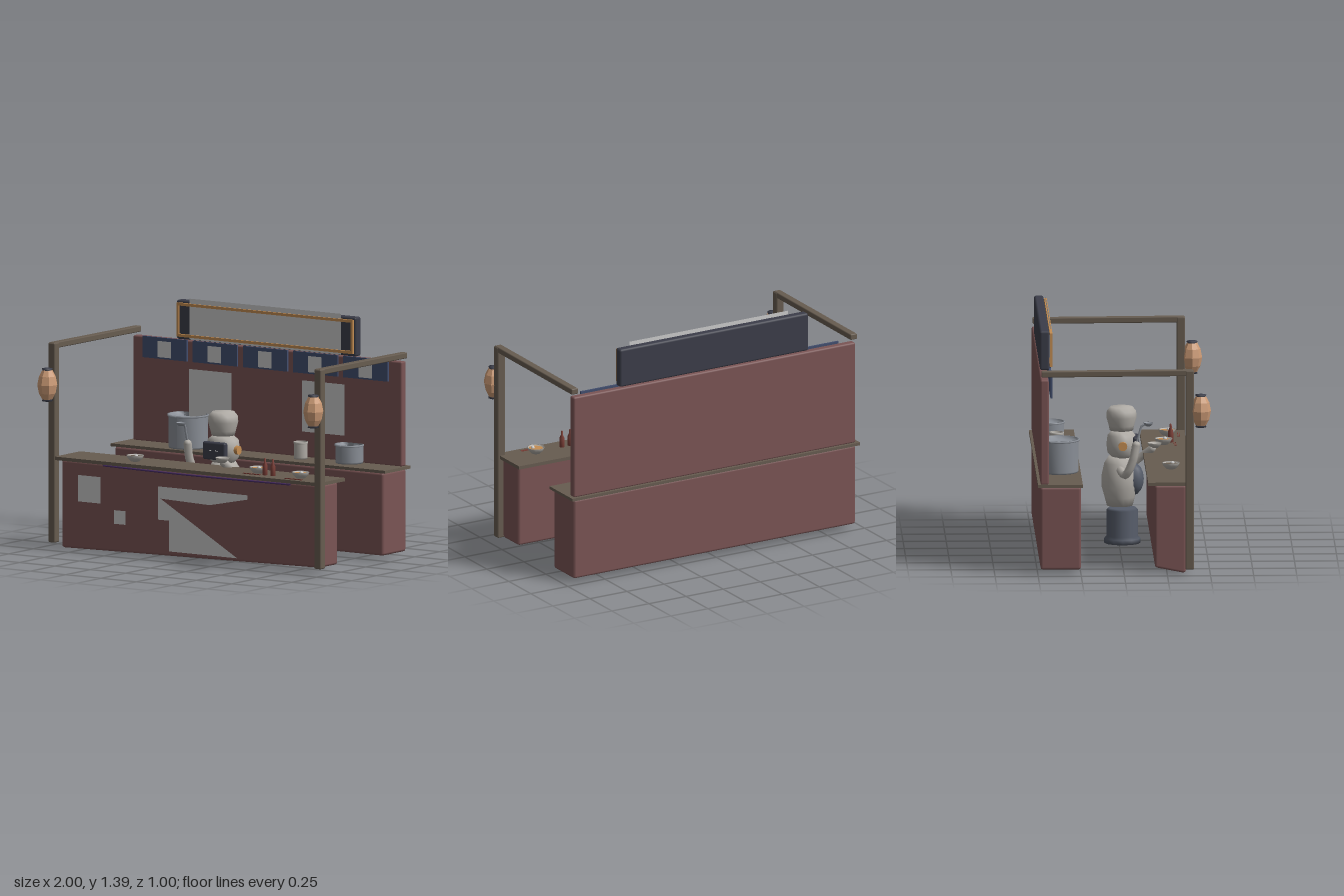
import * as THREE from 'three';
import { RoundedBoxGeometry } from 'three/addons/geometries/RoundedBoxGeometry.js';

const mat = (color, flatShading = false) =>
  new THREE.MeshStandardMaterial({ color, flatShading, side: THREE.DoubleSide });
const M = {
  grey: mat(0xcccccc), robot: mat(0xb0aca6), maroon: mat(0x7a5454), wood: mat(0x675c50),
  slate: mat(0x555b68), dark: mat(0x3b3d49), navy: mat(0x424e6e), metal: mat(0x8b9098),
  gold: mat(0xc48d52), paper: mat(0xcc9b76, true), purple: mat(0x4b2f68), red: mat(0x7d4038),
};

export function createModel() {
  const root = new THREE.Group();
  const add = (name, geometry, material, x = 0, y = 0, z = 0, parent = root) => {
    const m = new THREE.Mesh(geometry, material);
    m.name = name;
    m.position.set(x, y, z);
    parent.add(m);
    return m;
  };
  // Box given by its limits on each axis
  const box = (name, material, x0, x1, y0, y1, z0, z1, r = 0) => {
    const s = [x1 - x0, y1 - y0, z1 - z0];
    const g = r ? new RoundedBoxGeometry(...s, 1, r) : new THREE.BoxGeometry(...s);
    return add(name, g, material, (x0 + x1) / 2, (y0 + y1) / 2, (z0 + z1) / 2);
  };
  const lathe = (pts, sides = 14) =>
    new THREE.LatheGeometry(pts.map(p => new THREE.Vector2(...p)), sides);
  const tube = (name, material, pts, r, sides = 8, parent = root) => add(name, new THREE.TubeGeometry(
    new THREE.CatmullRomCurve3(pts.map(p => new THREE.Vector3(...p))), 10, r, sides), material, 0, 0, 0, parent);
  // Thin flat sheet facing +z
  const sheet = (name, pts, z, material = M.grey) => add(name, new THREE.ShapeGeometry(
    new THREE.Shape(pts.map(p => new THREE.Vector2(...p)))), material, 0, 0, z);
  const rectangle = (x0, x1, y0, y1) => [[x0, y0], [x1, y0], [x1, y1], [x0, y1]];

  // Serving counter, its lower front corner drooping at one end
  const counter = box('frontCounter', M.maroon, -0.9, 0.93, 0.03, 0.515, 0.18, 0.36, 0.015);
  const cp = counter.geometry.attributes.position;
  for (let i = 0; i < cp.count; i++)
    if (cp.getX(i) < 0 && cp.getY(i) < 0 && cp.getZ(i) > 0) cp.setY(i, cp.getY(i) - 0.03);
  box('frontCounterTop', M.wood, -0.92, 0.95, 0.515, 0.535, 0.14, 0.4);
  tube('counterLightStrip', M.purple, [[-0.6, 0.505, 0.365], [0, 0.5, 0.368], [0.72, 0.503, 0.365]], 0.006, 6);

  // Back counter and wall
  box('backCounter', M.maroon, -0.95, 0.95, 0.03, 0.515, -0.485, -0.25, 0.015);
  box('backCounterTop', M.wood, -0.97, 0.97, 0.515, 0.532, -0.5, -0.24);
  box('backWall', M.maroon, -0.95, 0.95, 0.53, 1.145, -0.485, -0.437, 0.01);

  // Flat posters
  sheet('counterNotice', rectangle(-0.78, -0.62, 0.28, 0.435), 0.364);
  sheet('smallCounterNotice', rectangle(-0.525, -0.445, 0.17, 0.25), 0.364);
  sheet('counterBanner', [[-0.215, 0.345], [0.15, 0.335], [0.42, 0.39], [0.42, 0.415], [-0.215, 0.415]], 0.364);
  sheet('counterPoster', [[-0.215, 0.22], [-0.135, 0.22], [-0.135, 0.04], [0.345, 0.04], [-0.215, 0.355]], 0.364);
  for (const s of [-1, 1]) {
    const x = s * 0.4;
    sheet('wallPoster', rectangle(x - 0.15, x + 0.15, 0.68, 0.98), -0.433);
  }

  // Cloth pennants along the top of the wall
  for (let i = -2; i <= 2; i++) {
    const x = i * 0.355;
    box('pennant', M.navy, x - 0.157, x + 0.157, 1.025, 1.15, -0.426, -0.414);
    sheet('pennantPatch', rectangle(x - 0.048, x + 0.048, 1.035, 1.13), -0.41);
  }

  // Sign board with a thin frame
  box('signBoard', M.dark, -0.635, 0.635, 1.15, 1.38, -0.48, -0.425, 0.012);
  sheet('signPanel', rectangle(-0.535, 0.535, 1.155, 1.395), -0.416);
  for (const y of [1.175, 1.358]) box('signFrameRail', M.gold, -0.622, 0.622, y - 0.008, y + 0.008, -0.422, -0.407);
  for (const x of [-0.615, 0.615]) box('signFrameSide', M.gold, x - 0.007, x + 0.007, 1.168, 1.365, -0.422, -0.407);

  // Posts, roof beams and hanging lanterns
  const lantern = lathe([[0, -0.085], [0.03, -0.085], [0.049, -0.05], [0.059, 0], [0.049, 0.05], [0.03, 0.085], [0, 0.085]], 8);
  const cap = lathe([[0, -0.01], [0.024, -0.01], [0.033, 0.008], [0.012, 0.012], [0, 0.012]], 8);
  for (const s of [-1, 1]) {
    box('post', M.wood, s * 0.94 - 0.025, s * 0.94 + 0.025, 0.03, 1.2, 0.355, 0.405, 0.008);
    const beam = box('roofBeam', M.wood, s * 0.94 - 0.022, s * 0.94 + 0.022, 1.165, 1.2, -0.48, 0.4, 0.006);
    beam.rotation.x = -0.006;
    add('lantern', lantern, M.paper, s * 0.94, 0.96, 0.445);
    add('lanternCapTop', cap, M.dark, s * 0.94, 1.047, 0.445);
    add('lanternCapBottom', cap, M.dark, s * 0.94, 0.873, 0.445).rotation.x = Math.PI;
  }

  // Stool
  add('stool', lathe([[0, 0.03], [0.105, 0.03], [0.105, 0.058], [0.092, 0.072], [0.092, 0.225], [0.08, 0.237], [0, 0.237]], 12),
    M.slate, 0, 0, 0.015);

  // Robot cook
  const cook = new THREE.Group();
  cook.name = 'cook';
  root.add(cook);
  add('body', lathe([[0, 0.25], [0.075, 0.25], [0.088, 0.3], [0.105, 0.36], [0.105, 0.43], [0.09, 0.5], [0.065, 0.54], [0, 0.545]]),
    M.robot, 0, 0, 0, cook);
  const head = add('head', lathe([[0, 0.53], [0.06, 0.535], [0.085, 0.56], [0.092, 0.61], [0.085, 0.665], [0.06, 0.69], [0, 0.695]]),
    M.robot, 0, 0, 0.01, cook);
  head.scale.set(1.12, 1, 0.95);
  add('chefHat', lathe([[0, 0.69], [0.068, 0.692], [0.074, 0.72], [0.088, 0.77], [0.085, 0.805], [0.065, 0.83], [0, 0.835]]),
    M.robot, 0, 0, 0.01, cook);
  add('faceScreen', new RoundedBoxGeometry(0.16, 0.105, 0.035, 2, 0.012), M.dark, 0, 0.608, 0.092, cook);
  for (const s of [-1, 1]) {
    add('ear', new THREE.CylinderGeometry(0.026, 0.026, 0.022, 12), M.gold, s * 0.106, 0.612, 0.015, cook).rotation.z = Math.PI / 2;
    add('eye', new THREE.BoxGeometry(0.016, 0.005, 0.004), M.grey, s * 0.02, 0.61, 0.11, cook);
  }
  add('apron', new THREE.SphereGeometry(1, 12, 8), M.slate, 0, 0.405, 0.08, cook).scale.set(0.07, 0.095, 0.06);
  tube('leftArm', M.robot, [[0.085, 0.47, 0], [0.165, 0.45, 0.05], [0.165, 0.5, 0.12], [0.13, 0.56, 0.19]], 0.024, 8, cook);
  tube('rightArm', M.robot, [[-0.085, 0.47, 0], [-0.17, 0.455, 0.03], [-0.195, 0.54, 0.07], [-0.195, 0.635, 0.09]], 0.024, 8, cook);
  for (const p of [[0.13, 0.56, 0.19], [-0.195, 0.635, 0.09]])
    add('hand', new THREE.SphereGeometry(0.024, 8, 6), M.robot, ...p, cook);
  tube('ladleHandle', M.metal, [[-0.195, 0.62, 0.085], [-0.195, 0.69, 0.105], [-0.195, 0.75, 0.125], [-0.195, 0.757, 0.15]], 0.007, 6, cook);

  // Bowls and the food in them
  const bowl = r => lathe([[0, 0], [r * 0.5, 0], [r * 0.85, r * 0.35], [r, r * 0.7], [r * 0.88, r * 0.68], [r * 0.7, r * 0.35], [0, r * 0.25]], 12);
  add('ladleBowl', bowl(0.029), M.metal, -0.195, 0.747, 0.16, cook);
  add('heldBowl', bowl(0.042), M.robot, 0.13, 0.565, 0.205, cook);
  for (const [x, z, filled] of [[-0.43, 0.285, false], [0.425, 0.265, true], [0.745, 0.295, true]]) {
    add('bowl', bowl(0.052), M.robot, x, 0.535, z);
    add('broth', new THREE.CylinderGeometry(0.042, 0.042, 0.006, 12), filled ? M.gold : M.wood, x, 0.562, z);
    add('topping', new THREE.SphereGeometry(0.012, 8, 6), M.grey, x + 0.014, 0.566, z + 0.01);
    if (filled) for (const d of [0, 0.01])
      add('chopstick', new THREE.BoxGeometry(0.12, 0.004, 0.004), M.red, x, 0.537, z + 0.062 + d);
  }

  // Sauce bottles
  const bottle = lathe([[0, 0], [0.015, 0], [0.015, 0.055], [0.006, 0.075], [0.006, 0.095], [0, 0.1]], 8);
  for (const x of [0.505, 0.56]) add('sauceBottle', bottle, M.red, x, 0.535, 0.31);

  // Pots flattened against the wall
  const pot = (name, material, x, z, r, h) => {
    const g = lathe([[0, 0], [r * 0.94, 0], [r * 0.97, 0.01], [r * 0.97, h - 0.012], [r * 1.03, h - 0.01], [r * 1.03, h],
      [r * 0.92, h], [r * 0.92, h - 0.025], [0, h - 0.025]], 16);
    const p = g.attributes.position;
    for (let i = 0; i < p.count; i++) p.setZ(i, Math.max(p.getZ(i), -0.436 - z));
    g.computeVertexNormals();
    add(name, g, material, x, 0.533, z);
  };
  pot('stockPot', M.metal, -0.51, -0.368, 0.12, 0.195);
  pot('smallPot', M.metal, 0.615, -0.388, 0.085, 0.11);
  pot('canister', M.robot, 0.29, -0.36, 0.042, 0.1);

  return root;
}
